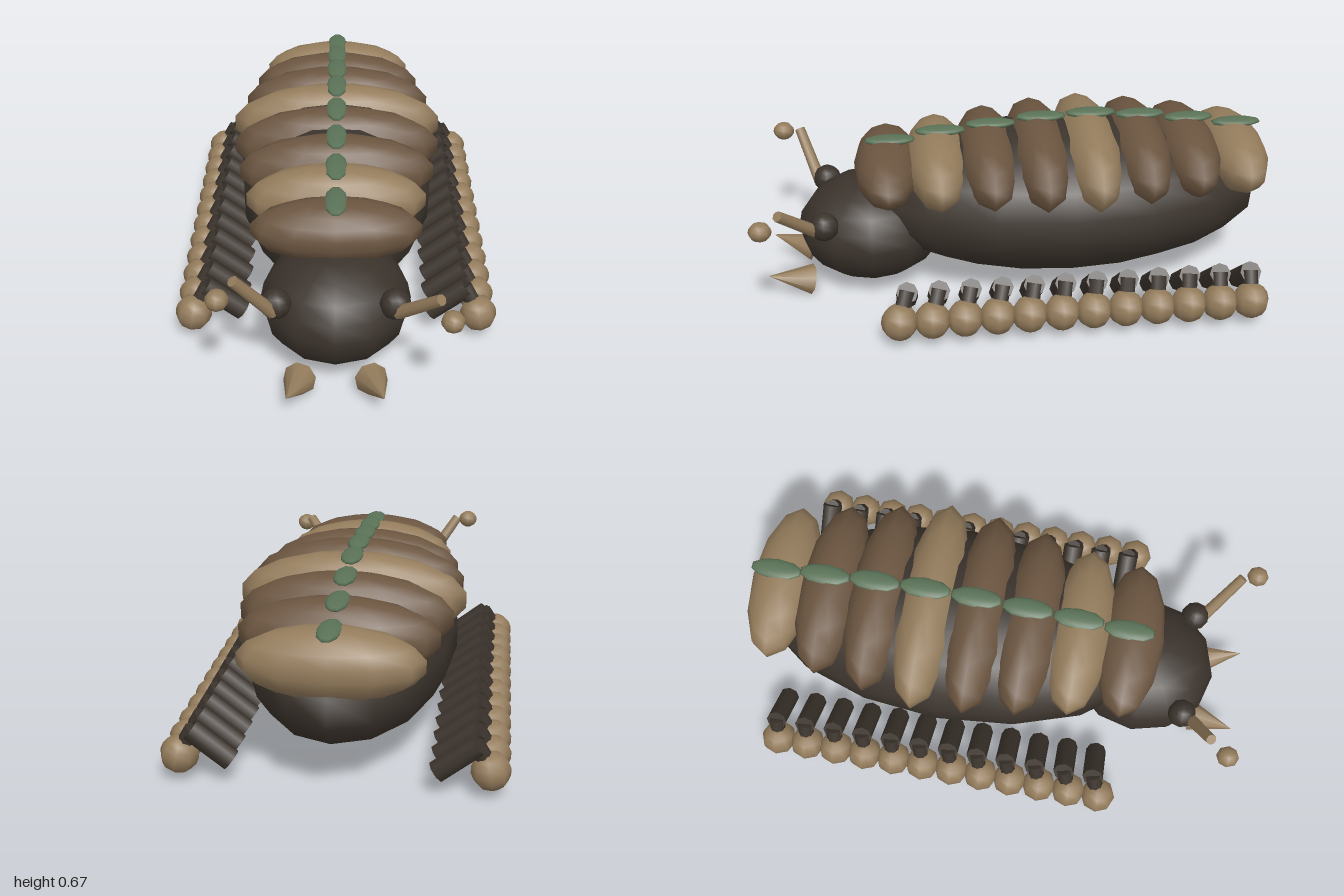
import * as THREE from 'three';

const paint = (name, color) => {
  const m = new THREE.MeshStandardMaterial({ color });
  m.name = name;
  return m;
};

export function createModel() {
  const model = new THREE.Group();
  model.name = 'armouredCrawler';
  const dark = paint('darkHide', 0x3b332c);
  const brown = paint('brownShell', 0x6b5540);
  const tan = paint('tanShell', 0x947c5c);
  const green = paint('mossGreen', 0x5a7257);

  const add = (name, geometry, material, pos) => {
    const mesh = new THREE.Mesh(geometry, material);
    mesh.name = name;
    mesh.position.set(...pos);
    model.add(mesh);
    return mesh;
  };
  const ellipsoid = (name, material, pos, radii, ws = 12, hs = 9) => {
    const mesh = add(name, new THREE.SphereGeometry(1, ws, hs), material, pos);
    mesh.scale.set(...radii);
    return mesh;
  };
  // Tapered rod from point a to point b
  const rod = (name, material, a, b, ra, rb, sides = 8) => {
    const from = new THREE.Vector3(...a), to = new THREE.Vector3(...b);
    const dir = to.clone().sub(from);
    const mid = from.clone().add(to).multiplyScalar(0.5);
    const mesh = add(name, new THREE.CylinderGeometry(rb, ra, dir.length(), sides), material, mid.toArray());
    mesh.quaternion.setFromUnitVectors(new THREE.Vector3(0, 1, 0), dir.normalize());
    return mesh;
  };

  // Body and head
  ellipsoid('body', dark, [0, 0.345, -0.2], [0.39, 0.29, 0.79], 16, 9);
  ellipsoid('head', dark, [0, 0.24, 0.56], [0.27, 0.205, 0.285], 12, 10);

  // Back plates, front to rear: half width, centre height, top height, material
  const plates = [
    [0.31, 0.485, 0.6, brown], [0.335, 0.49, 0.63, tan],
    [0.375, 0.5, 0.65, brown], [0.405, 0.505, 0.67, brown],
    [0.422, 0.508, 0.677, tan], [0.385, 0.505, 0.663, brown],
    [0.35, 0.5, 0.64, brown], [0.315, 0.485, 0.61, tan],
  ];
  plates.forEach(([rx, cy, top, material], i) => {
    const z = 0.49 - 0.194 * i;
    ellipsoid('backPlate', material, [0, cy, z], [rx, top - cy, 0.127]);
    // Flat mossy scale along the spine
    ellipsoid('spineScale', green, [0, top - 0.009, z - 0.015], [0.042, 0.016, 0.1], 10, 8);
  });

  // Eyes, feelers and mandibles; the two feelers are posed differently
  const feelers = {
    '-1': { tip: [-0.337, 0.505, 0.838], knob: [-0.383, 0.48, 0.908] },
    '1': { tip: [0.345, 0.468, 0.888], knob: [0.38, 0.428, 0.95] },
  };
  for (const s of [-1, 1]) {
    ellipsoid('eye', dark, [s * 0.205, 0.34, 0.735], [0.055, 0.055, 0.055], 10, 8);
    rod('feelerStalk', tan, [s * 0.212, 0.325, 0.765], feelers[s].tip, 0.024, 0.02);
    ellipsoid('feelerKnob', tan, feelers[s].knob, [0.04, 0.036, 0.042], 8, 8);
    rod('mandible', tan, [s * 0.125, 0.068, 0.803], [s * 0.165, 0.115, 0.965], 0.06, 0, 8);

    // Rows of legs with round feet
    for (let i = 0; i < 12; i++) {
      const legZ = 0.44 - 0.116 * i, footZ = 0.472 - 0.1185 * i;
      rod('upperLeg', dark, [s * 0.348, 0.095, legZ], [s * 0.485, 0.203, legZ], 0.04, 0.04);
      rod('lowerLeg', dark, [s * 0.475, 0.205, legZ], [s * 0.53, 0.11, footZ], 0.03, 0.03);
      const foot = ellipsoid('foot', tan, [s * 0.528, 0.108, footZ], [0.068, 0.068, 0.068], 8, 8);
      foot.rotation.z = s * 0.2;
    }
  }
  return model;
}
